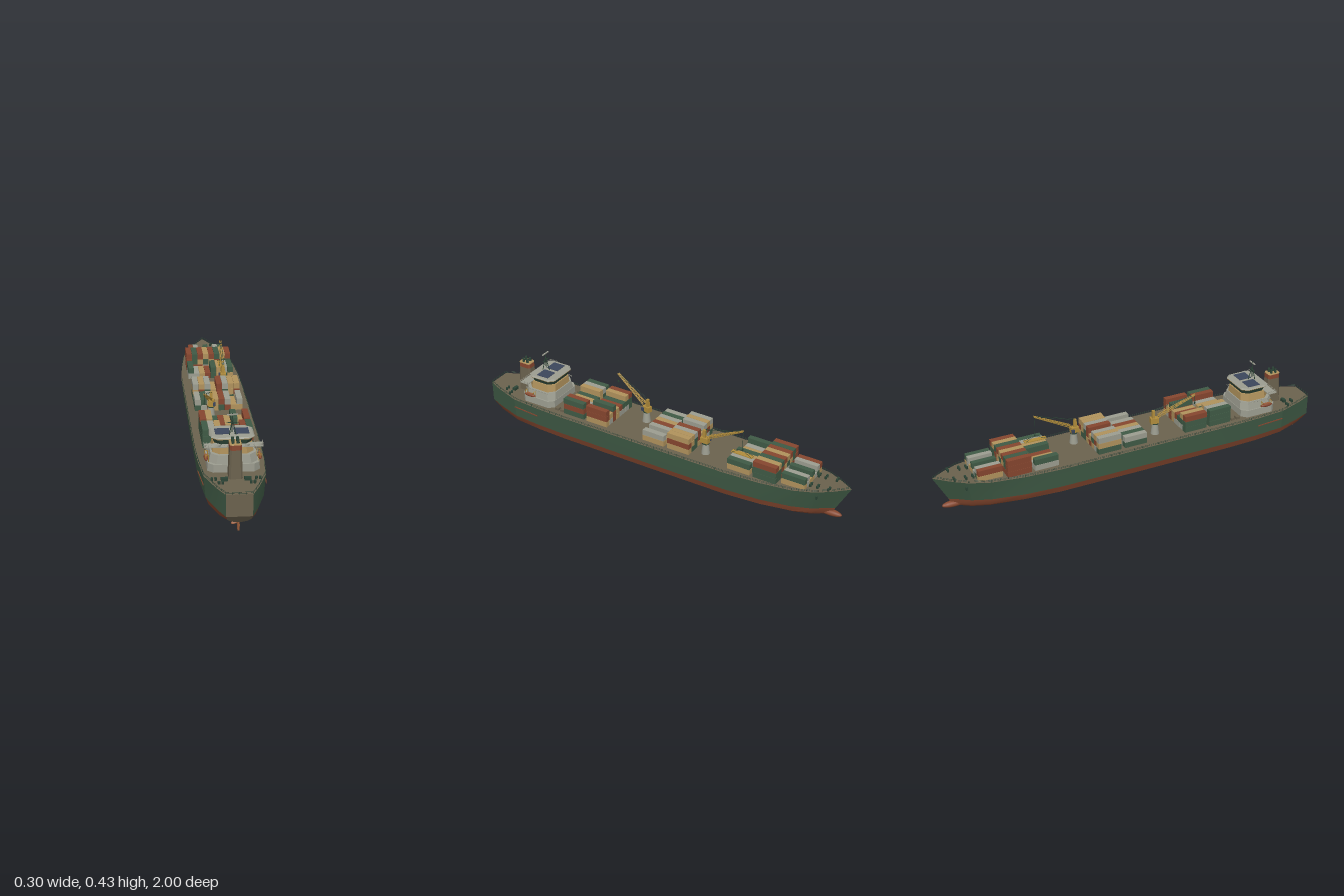
import * as THREE from 'three';
import { mergeGeometries, toCreasedNormals } from 'three/addons/utils/BufferGeometryUtils.js';

const COLORS = {
  hullGreen: 0x3f5a45, hullRed: 0x86482f, deckBrown: 0x6b624e, paleGrey: 0x9c9d90, tan: 0xb0925c,
  craneYellow: 0xb08c3c, darkGreen: 0x2c4436, panelBlue: 0x3c465c, copper: 0x9c5f3c, rustRed: 0x86462f,
};
const V = (x, y, z) => new THREE.Vector3(x, y, z);

export function createModel() {
  const ship = new THREE.Group();
  ship.name = 'cargoShip';
  const M = {};
  for (const k in COLORS) {
    M[k] = new THREE.MeshStandardMaterial({ color: COLORS[k] });
    M[k].name = k;
  }
  const add = (name, geo, mat, parent = ship) => {
    const m = new THREE.Mesh(geo, mat);
    m.name = name;
    parent.add(m);
    return m;
  };
  const box = (name, mat, w, h, d, x, y, z, parent) =>
    add(name, new THREE.BoxGeometry(w, h, d).translate(x, y, z), mat, parent);
  const cyl = (name, mat, r0, r1, y0, y1, x, z, parent, n = 12) =>
    add(name, new THREE.CylinderGeometry(r1, r0, y1 - y0, n).translate(x, (y0 + y1) / 2, z), mat, parent);
  // Thin rod from point a to point b
  const rod = (a, b, r, n = 5) => {
    const d = b.clone().sub(a), g = new THREE.CylinderGeometry(r, r, d.length(), n);
    g.applyQuaternion(new THREE.Quaternion().setFromUnitVectors(V(0, 1, 0), d.normalize()));
    return g.translate((a.x + b.x) / 2, (a.y + b.y) / 2, (a.z + b.z) / 2);
  };
  const rods = (name, list, r, mat, parent) =>
    add(name, mergeGeometries(list.map(([a, b]) => rod(a, b, r))), mat, parent);
  // Surface from quads with counter-clockwise corners
  const surface = (quads, crease) => {
    const p = [];
    for (const [a, b, c, d] of quads) for (const v of [a, b, c, a, c, d]) p.push(v.x, v.y, v.z);
    const g = new THREE.BufferGeometry();
    g.setAttribute('position', new THREE.Float32BufferAttribute(p, 3));
    g.computeVertexNormals();
    return crease ? toCreasedNormals(g, crease) : g;
  };
  // Railing with posts along a path
  const railing = (name, pts, h, step, mat = M.darkGreen) => {
    const list = [], up = V(0, h, 0), mid = V(0, h / 2, 0);
    for (let i = 0; i + 1 < pts.length; i++) {
      const a = pts[i], b = pts[i + 1], n = Math.max(1, Math.round(a.distanceTo(b) / step));
      for (const o of [up, mid]) list.push([a.clone().add(o), b.clone().add(o)]);
      for (let k = 0; k <= n; k++) {
        const q = a.clone().lerp(b, k / n);
        list.push([q, q.clone().add(up)]);
      }
    }
    rods(name, list, 0.0008, mat);
  };

  // Hull stations: z, deck half width, waterline half width, deck y, keel y, z shift at waterline, at keel
  const stations = [
    [-1, 0.001, 0.001, 0.213, 0.042, 0.07, 0.09], [-0.93, 0.05, 0.026, 0.205, 0.035, 0.04, 0.06],
    [-0.86, 0.09, 0.062, 0.198, 0.029, 0.02, 0.03], [-0.76, 0.12, 0.097, 0.191, 0.023, 0.01, 0.01],
    [-0.6, 0.14, 0.126, 0.187, 0.018, 0, 0], [-0.42, 0.151, 0.14, 0.186, 0.014, 0, 0],
    [0, 0.152, 0.142, 0.186, 0.012, 0, 0], [0.5, 0.152, 0.142, 0.186, 0.012, 0, 0],
    [0.65, 0.147, 0.138, 0.186, 0.014, 0, 0], [0.8, 0.135, 0.126, 0.186, 0.02, 0, 0],
    [0.93, 0.09, 0.085, 0.186, 0.032, 0, -0.01], [1, 0.058, 0.056, 0.186, 0.046, 0, -0.03]];
  const below = [[1, 0], [0.9, 0.5], [0.62, 0.84], [0.25, 1], [0, 1]];
  const sections = stations.map(([z, wd, ww, yd, k, s1, s2]) => [V(wd, yd, z),
    ...below.map(([f, t]) => V(ww * f, 0.085 + (k - 0.085) * t, z + s1 + (s2 - s1) * t))]);
  const flip = (v) => V(-v.x, v.y, v.z);
  const skin = (j0, j1) => {
    const q = [];
    for (let i = 0; i + 1 < sections.length; i++) for (let j = j0; j < j1; j++) {
      const s = [sections[i][j], sections[i + 1][j], sections[i + 1][j + 1], sections[i][j + 1]];
      q.push(s, s.map(flip).reverse());
    }
    return q;
  };
  add('upperHull', surface(skin(0, 1), 0.2), M.hullGreen);
  add('lowerHull', surface(skin(1, 5), 0.6), M.hullRed);
  const last = sections[sections.length - 1];
  add('transom', surface([0, 1, 2, 3].map((j) => [flip(last[j]), flip(last[j + 1]), last[j + 1], last[j]])), M.deckBrown);
  add('deck', surface(sections.slice(0, -1).map((s, i) =>
    [flip(s[0]), flip(sections[i + 1][0]), sections[i + 1][0], s[0]])), M.deckBrown);
  add('bulbousBow', new THREE.SphereGeometry(1, 16, 10).scale(0.018, 0.016, 0.06).translate(0, 0.053, -0.905), M.hullRed);
  const edge = sections.map((s) => V(s[0].x * 0.985, s[0].y, s[0].z * 0.995));
  railing('leftDeckRail', edge, 0.011, 0.04);
  railing('rightDeckRail', edge.map(flip), 0.011, 0.04);
  railing('sternRail', [last[0], flip(last[0])], 0.011, 0.03);

  // Rudder and propeller
  const rudder = new THREE.Shape([[0.925, 0.05], [0.965, 0.05], [0.96, 0.002], [0.932, 0]].map(([z, y]) => new THREE.Vector2(-z, y)));
  add('rudder', new THREE.ExtrudeGeometry(rudder, { depth: 0.008, bevelEnabled: false }).rotateY(Math.PI / 2).translate(-0.004, 0, 0), M.copper);
  add('propellerHub', new THREE.CylinderGeometry(0.005, 0.005, 0.05, 10).rotateX(Math.PI / 2).translate(0, 0.02, 0.895), M.copper);
  for (let i = 0; i < 4; i++) {
    const blade = new THREE.SphereGeometry(1, 10, 6).scale(0.007, 0.013, 0.002).rotateY(0.5).translate(0, 0.015, 0);
    add('propellerBlade', blade.rotateZ(i * Math.PI / 2 + 0.3).translate(0, 0.02, 0.91), M.copper);
  }

  // Side stripe, anchor and mooring gear on both sides
  for (const s of [-1, 1]) {
    const stripe = box('hullStripe', M.rustRed, 0.003, 0.005, 0.15, 0, 0, 0);
    stripe.position.set(s * 0.1415, 0.143, 0.725);
    stripe.rotation.y = -s * 0.08;
    box('anchor', M.darkGreen, 0.008, 0.016, 0.008, s * 0.08, 0.165, -0.865);
    for (const [x, z, y] of [[0.045, -0.91, 0.203], [0.045, -0.855, 0.197], [0.045, -0.82, 0.195], [0.068, 0.89, 0.186], [0.095, 0.85, 0.186]])
      for (const d of [-0.008, 0.008]) cyl('bollard', M.darkGreen, 0.005, 0.006, y - 0.004, y + 0.013, s * x + d, z);
    box('mooringWinch', M.darkGreen, 0.03, 0.014, 0.016, s * 0.05, 0.193, 0.855);
    for (const z of [0.525, 0.555]) box('deckHatch', M.deckBrown, 0.024, 0.012, 0.02, s * 0.095, 0.192, z);
  }

  // Chamfered tier with sloping walls; half sizes at bottom and top
  const tier = (name, mat, w0, d0, w1, d1, y0, y1, zc, c = 0.025) => {
    const ring = (w, d, y) => [[w, d - c], [w - c, d], [c - w, d], [-w, d - c], [-w, c - d], [c - w, -d], [w - c, -d], [w, c - d]]
      .map(([x, z]) => V(x, y, z + zc));
    const a = ring(w0, d0, y0), b = ring(w1, d1, y1), q = [];
    for (let i = 0; i < 8; i++) {
      const k = (i + 1) % 8;
      q.push([a[k], a[i], b[i], b[k]]);
    }
    for (const i of [0, 2, 4]) q.push([b[i], b[(i + 7) % 8], b[(i + 2) % 8], b[i + 1]]);
    q.length = 8;
    for (const [i, j, k, l] of [[0, 7, 4, 3], [0, 3, 2, 1], [4, 7, 6, 5]]) {
      q.push([b[i], b[j], b[k], b[l]], [a[l], a[k], a[j], a[i]]);
    }
    return add(name, surface(q), mat);
  };
  tier('lowerHouse', M.paleGrey, 0.114, 0.095, 0.113, 0.095, 0.186, 0.222, 0.675);
  tier('middleHouse', M.paleGrey, 0.106, 0.09, 0.098, 0.085, 0.222, 0.26, 0.672, 0.03);
  tier('upperHouse', M.tan, 0.09, 0.076, 0.084, 0.074, 0.26, 0.297, 0.668, 0.03);
  tier('bridge', M.darkGreen, 0.08, 0.064, 0.089, 0.07, 0.299, 0.322, 0.663);
  tier('roofTrim', M.tan, 0.093, 0.075, 0.095, 0.076, 0.322, 0.326, 0.663);
  tier('roof', M.paleGrey, 0.095, 0.076, 0.088, 0.07, 0.326, 0.331, 0.663);
  box('bridgeWing', M.paleGrey, 0.256, 0.004, 0.045, 0, 0.297, 0.735);
  railing('wingRail', [V(-0.127, 0.299, 0.713), V(-0.127, 0.299, 0.757), V(0.127, 0.299, 0.757), V(0.127, 0.299, 0.713)], 0.009, 0.02, M.paleGrey);
  for (const s of [-1, 1]) {
    box('roofPanel', M.panelBlue, 0.064, 0.003, 0.065, s * 0.042, 0.332, 0.66);
    railing('houseRail', [V(s * 0.106, 0.256, 0.61), V(s * 0.106, 0.256, 0.74)], 0.009, 0.02, M.paleGrey);
    // Lifeboat with davits
    add('lifeboat', new THREE.SphereGeometry(1, 12, 8).scale(0.009, 0.009, 0.034).translate(s * 0.117, 0.233, 0.71), M.rustRed);
    box('lifeboatCanopy', M.copper, 0.01, 0.006, 0.036, s * 0.117, 0.241, 0.71);
    for (const z of [0.685, 0.735])
      rods('davit', [[V(s * 0.108, 0.222, z), V(s * 0.107, 0.255, z)], [V(s * 0.107, 0.255, z), V(s * 0.122, 0.253, z)],
        [V(s * 0.122, 0.253, z), V(s * 0.119, 0.24, z)]], 0.0018, M.craneYellow);
  }

  // Funnel
  tier('funnel', M.deckBrown, 0.03, 0.036, 0.0255, 0.033, 0.186, 0.316, 0.81, 0.008);
  tier('funnelBand', M.rustRed, 0.0257, 0.0332, 0.025, 0.032, 0.316, 0.339, 0.81, 0.008);
  tier('funnelCap', M.tan, 0.026, 0.033, 0.025, 0.032, 0.339, 0.342, 0.81, 0.008);
  for (const x of [-0.011, 0.011]) for (const z of [0.798, 0.822])
    cyl('exhaustPipe', M.darkGreen, 0.007, 0.006, 0.341, 0.361, x, z);

  // Radar mast
  rods('mastLegs', [-1, 1].map((s) => [V(s * 0.014, 0.331, 0.7), V(0, 0.402, 0.69)])
    .concat([[V(0, 0.331, 0.67), V(0, 0.402, 0.69)]]), 0.0022, M.darkGreen);
  cyl('mastPole', M.darkGreen, 0.002, 0.0015, 0.395, 0.426, 0, 0.69, ship, 8);
  box('radarBar', M.paleGrey, 0.048, 0.005, 0.006, 0, 0.42, 0.69);
  box('mastCrossbar', M.darkGreen, 0.05, 0.0025, 0.003, 0, 0.383, 0.69);

  // Container stacks: centre z, most layers, colours across from right to left
  const paint = { R: M.rustRed, G: M.hullGreen, T: M.tan, W: M.paleGrey };
  const blocks = [[-0.75, 2, 'RWWGTWG'], [-0.615, 3, 'RGRTRGTR'], [-0.48, 2, 'GWTRGTWG'], [-0.155, 3, 'WTWTRWTT'],
    [-0.017, 2, 'WGWTRWTW'], [0.31, 3, 'RTGRTGTR'], [0.445, 3, 'GWTGTWRG']];
  let seed = 7;
  const rnd = () => (seed = (seed * 16807) % 2147483647) / 2147483647;
  const cw = 0.0288, ch = 0.029, mix = 'TRGWTRWG';
  for (const [z, layers, tops] of blocks) {
    const stack = new THREE.Group();
    stack.name = 'containerStack';
    ship.add(stack);
    [...tops].forEach((c, i) => {
      const outer = i === 0 || i === tops.length - 1, n = outer || rnd() > 0.35 ? layers : layers - 1;
      const w = tops.length === 7 ? 0.0262 : cw;
      for (let k = 0; k < n; k++) {
        const key = k === n - 1 ? c : mix[Math.floor(rnd() * mix.length)];
        box('container', paint[key], w - 0.0012, ch - 0.001, 0.118, (i - (tops.length - 1) / 2) * w, 0.189 + ch * (k + 0.5), z, stack);
      }
    });
  }

  // Deck crane: jib runs along local +z
  const crane = (x, z, yaw, hookY, spreader) => {
    const g = new THREE.Group();
    g.name = 'deckCrane';
    g.position.set(x, 0, z);
    g.rotation.y = yaw;
    ship.add(g);
    cyl('pedestal', M.paleGrey, 0.021, 0.015, 0.185, 0.24, 0, 0, g, 16);
    cyl('slewRing', M.darkGreen, 0.018, 0.018, 0.24, 0.245, 0, 0, g, 16);
    box('craneHouse', M.craneYellow, 0.028, 0.028, 0.04, 0, 0.259, -0.004, g);
    box('craneCab', M.panelBlue, 0.01, 0.016, 0.014, 0.018, 0.258, 0.01, g);
    box('craneTower', M.craneYellow, 0.014, 0.042, 0.014, 0, 0.291, -0.008, g);
    const jib = [], at = (s, t, h) => V(s * (0.009 - 0.005 * t), 0.272 + 0.1 * t + h * (1 - 0.6 * t), 0.012 + 0.186 * t);
    for (const s of [-1, 1]) for (const h of [0, 0.012]) jib.push([at(s, 0, h), at(s, 1, h)]);
    for (let i = 0; i < 9; i++) {
      const t = i / 9, u = (i + 1) / 9;
      for (const s of [-1, 1]) jib.push([at(s, t, 0), at(s, u, 0.012)]);
      jib.push([at(-1, t, 0.012), at(1, u, 0.012)]);
    }
    rods('jib', jib, 0.0017, M.craneYellow, g);
    const ropes = [[V(0, 0.372, 0.198), V(0, hookY, 0.198)]];
    for (const s of [-1, 1]) ropes.push([V(s * 0.004, 0.311, -0.008), at(s, 0.95, 0.012)]);
    if (spreader) {
      for (const dx of [-0.01, 0.01]) for (const dz of [-0.05, 0.05]) ropes.push([V(0, hookY, 0.198), V(dx, 0.253, 0.198 + dz)]);
      box('spreader', M.craneYellow, 0.024, 0.004, 0.11, 0, 0.251, 0.198, g);
    }
    rods('craneRopes', ropes, 0.0009, M.darkGreen, g);
    box('hookBlock', M.darkGreen, 0.006, 0.009, 0.006, 0, hookY, 0.198, g);
  };
  crane(-0.045, 0.12, Math.atan2(-0.045, 0.19), 0.33, false);
  crane(0.05, -0.27, Math.atan2(0.004, -0.2), 0.272, true);
  return ship;
}
